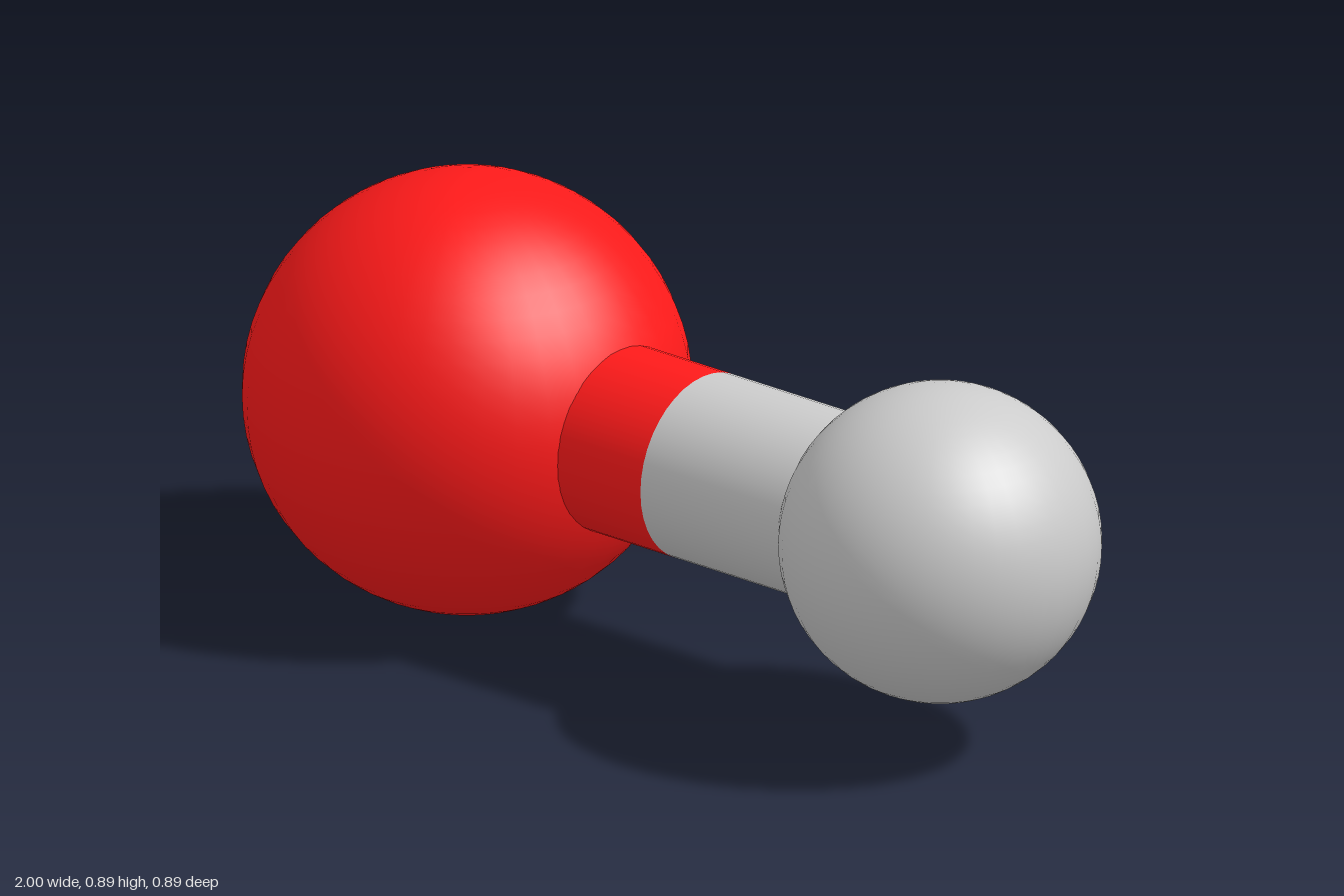
import * as THREE from 'three';

const CENTRE_Y = 0.446;
const BOND_RADIUS = 0.19;

export function createModel() {
  const model = new THREE.Group();
  model.name = 'twoAtomMolecule';

  const red = new THREE.MeshStandardMaterial({ color: 0xff1a1a });
  const grey = new THREE.MeshStandardMaterial({ color: 0xcccccc });

  const large = { name: 'largeAtom', x: -0.555, radius: 0.445, material: red };
  const small = { name: 'smallAtom', x: 0.68, radius: 0.32, material: grey };
  const middle = (large.x + small.x) / 2;

  for (const atom of [large, small]) {
    // Atom ball
    const ball = new THREE.Mesh(new THREE.SphereGeometry(atom.radius, 40, 32), atom.material);
    ball.name = atom.name;
    ball.position.set(atom.x, CENTRE_Y, 0);
    model.add(ball);

    // Half of the bond, from the atom's centre to the midpoint, open at both ends
    const length = Math.abs(middle - atom.x);
    const tube = new THREE.CylinderGeometry(BOND_RADIUS, BOND_RADIUS, length, 40, 1, true);
    tube.rotateZ(Math.PI / 2);
    const bond = new THREE.Mesh(tube, atom.material);
    bond.name = atom.name + 'BondHalf';
    bond.position.set((atom.x + middle) / 2, CENTRE_Y, 0);
    model.add(bond);
  }

  return model;
}
